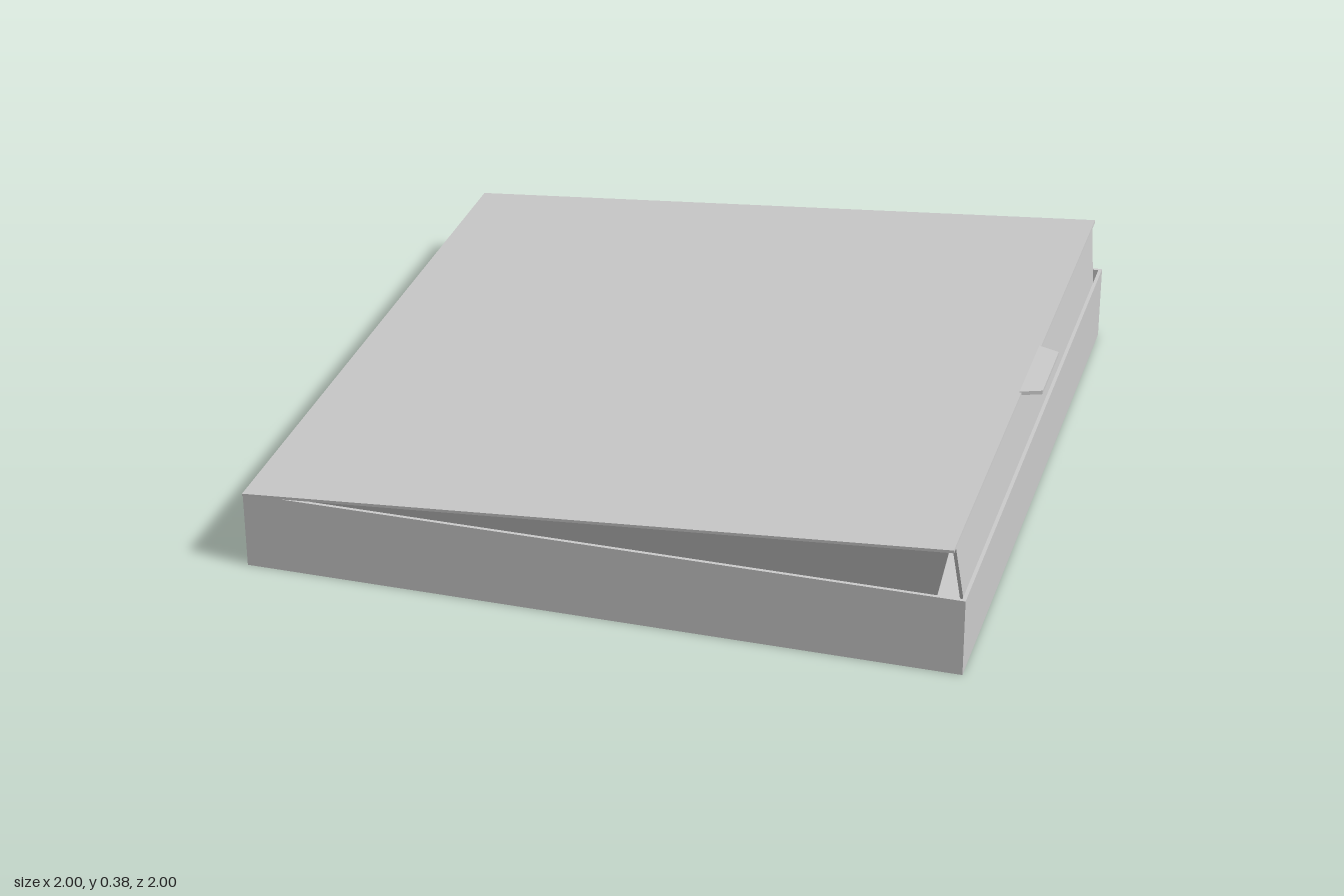
import * as THREE from 'three';

const material = new THREE.MeshStandardMaterial({ color: 0xcccccc, flatShading: true, side: THREE.DoubleSide });

function mesh(name, geometry) {
  const m = new THREE.Mesh(geometry, material);
  m.name = name;
  return m;
}

// Sheet of card: four corners in order, thickened along an offset vector
function sheet(name, corners, offset) {
  const a = corners.map((c) => new THREE.Vector3(...c));
  const off = new THREE.Vector3(...offset);
  const b = a.map((p) => p.clone().add(off));
  const normal = a[1].clone().sub(a[0]).cross(a[2].clone().sub(a[0]));
  const flip = normal.dot(off) > 0;
  const points = [];
  const quad = (p, q, r, s) => points.push(...(flip ? [p, r, q, p, s, r] : [p, q, r, p, r, s]));
  quad(a[0], a[1], a[2], a[3]);
  quad(b[3], b[2], b[1], b[0]);
  for (let i = 0; i < 4; i++) {
    const j = (i + 1) % 4;
    quad(a[j], a[i], b[i], b[j]);
  }
  // a-side faces away from the offset, so both caps and rims face outward
  const g = new THREE.BufferGeometry().setFromPoints(points);
  g.computeVertexNormals();
  return mesh(name, g);
}

function box(name, x0, x1, y0, y1, z0, z1) {
  const g = new THREE.BoxGeometry(x1 - x0, y1 - y0, z1 - z0);
  g.translate((x0 + x1) / 2, (y0 + y1) / 2, (z0 + z1) / 2);
  return mesh(name, g);
}

export function createModel() {
  const model = new THREE.Group();
  model.name = 'hingedCardBox';

  // Open tray
  const t = 0.01, x0 = -0.998, x1 = 0.977, z0 = -0.99, z1 = 0.982, h = 0.222;
  const tray = new THREE.Group();
  tray.name = 'tray';
  tray.add(
    box('trayFloor', x0, x1, 0, t, z0, z1),
    box('trayHingeWall', x0, x0 + t, t, h, z0, z1),
    box('trayOpeningWall', x1 - t, x1, t, h, z0, z1),
    box('traySideWall', x0 + t, x1 - t, t, h, z0, z0 + t),
    box('traySideWall', x0 + t, x1 - t, t, h, z1 - t, z1),
  );
  model.add(tray);

  // Lid, tilted up from the hinge edge
  const lid = new THREE.Group();
  lid.name = 'lid';
  lid.add(sheet('lidPanel', [
    [-1, h, 0.982], [0.945, 0.378, 1], [0.945, 0.378, -1], [-1, h, -0.99],
  ], [0.0006, -0.008, 0]));

  // Pull tab
  lid.add(sheet('pullTab', [
    [0.94, 0.381, 0.135], [1, 0.381, 0.112], [1, 0.381, -0.123], [0.94, 0.381, -0.147],
  ], [0, -0.011, 0]));

  // Opening flap, tucked inside the tray
  lid.add(sheet('openingFlap', [
    [0.943, 0.372, 0.968], [0.964, 0.17, 0.925], [0.964, 0.17, -0.925], [0.943, 0.372, -0.968],
  ], [-0.009, 0, 0]));

  // Side flaps, leaning inward below the lid edges
  for (const s of [1, -1]) {
    const hingeZ = s > 0 ? 0.966 : 0.974;
    lid.add(sheet('sideFlap', [
      [-0.9, 0.225, s * hingeZ], [0.932, 0.371, s * 0.993],
      [0.889, 0.17, s * 0.945], [-0.89, 0.03, s * 0.925],
    ], [0, 0, -s * 0.009]));
  }
  model.add(lid);
  return model;
}
